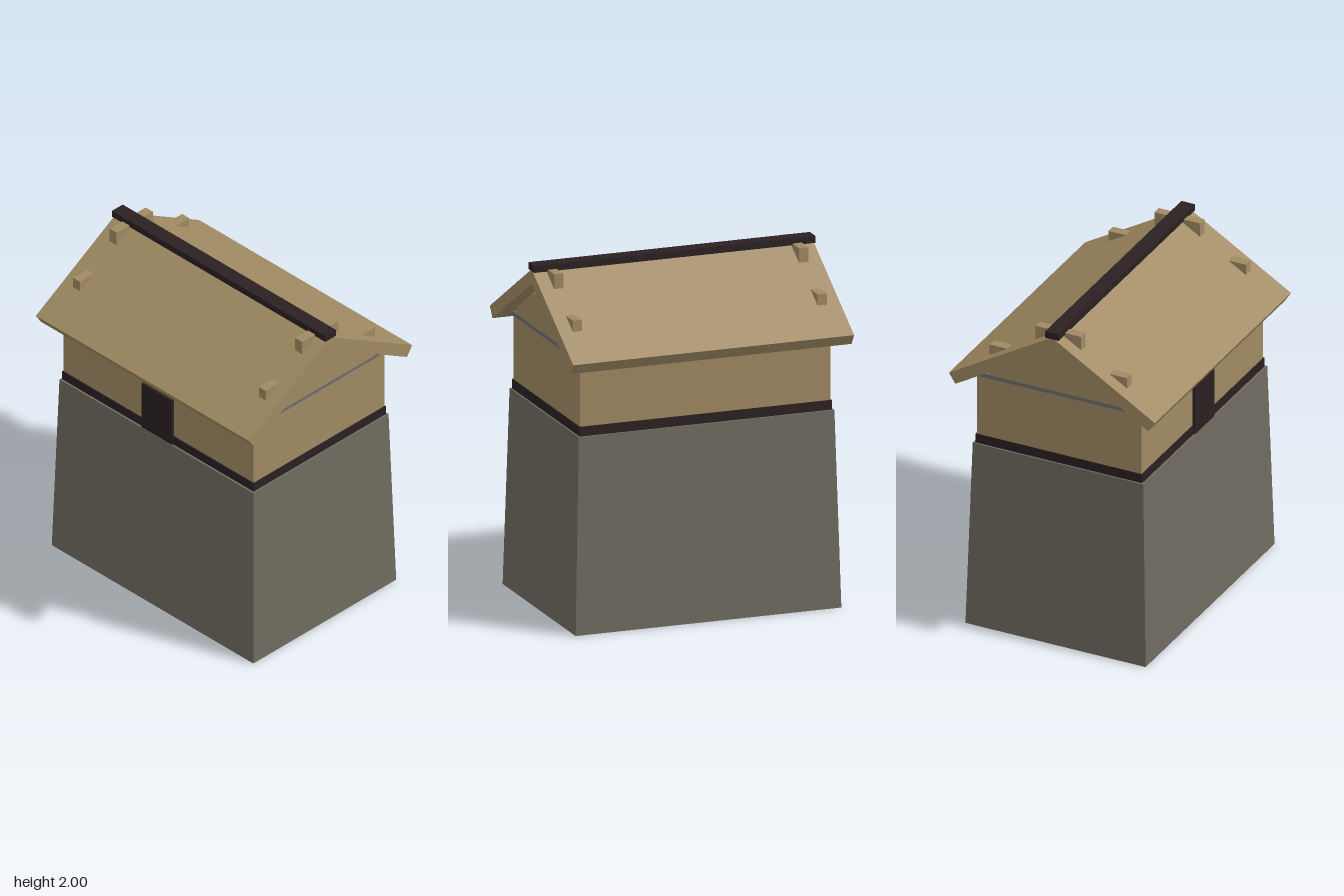
import * as THREE from 'three';

export function createModel() {
  const model = new THREE.Group();
  const mat = (name, color, side = THREE.FrontSide) =>
    Object.assign(new THREE.MeshStandardMaterial({ color, side }), { name });
  const wood = mat('wood', 0xa08a62);
  const stone = mat('stone', 0x6f6b60, THREE.DoubleSide);
  const dark = mat('darkTimber', 0x2b2022);
  const slate = mat('slate', 0x6d6e72);

  const add = (name, geometry, material) => {
    const mesh = new THREE.Mesh(geometry, material);
    mesh.name = name;
    model.add(mesh);
    return mesh;
  };
  // Box given by its lower and upper corners
  const box = (name, material, x0, x1, y0, y1, z0, z1) =>
    add(name, new THREE.BoxGeometry(x1 - x0, y1 - y0, z1 - z0), material)
      .position.set((x0 + x1) / 2, (y0 + y1) / 2, (z0 + z1) / 2);

  // Battered stone base, hollow and open underneath
  const baseTop = 1.135;
  const base = new THREE.BoxGeometry(2, baseTop, 2);
  base.translate(0, baseTop / 2, 0);
  const p = base.attributes.position;
  for (let i = 0; i < p.count; i++) {
    const top = p.getY(i) > 0.5;
    p.setX(i, p.getX(i) * (top ? 0.76 : 0.79));
    p.setZ(i, p.getZ(i) * (top ? 0.53 : 0.56));
  }
  const index = Array.from(base.index.array);
  index.splice(18, 6); // drop the bottom face
  base.setIndex(index);
  base.clearGroups();
  base.computeVertexNormals();
  add('stoneBase', base, stone);

  // Sill band, upper storey, ceiling slab and door
  box('sillBand', dark, -0.75, 0.75, baseTop, 1.19, -0.518, 0.518);
  box('upperStorey', wood, -0.745, 0.745, 1.19, 1.56, -0.512, 0.512);
  box('ceilingSlab', slate, -0.75, 0.75, 1.56, 1.585, -0.54, 0.54);
  box('door', dark, -0.12, 0.12, baseTop, 1.435, 0.5, 0.527);

  // Stepped gable walls poking through the roof
  for (const s of [-1, 1]) {
    const [x0, x1] = s > 0 ? [0.70, 0.755] : [-0.755, -0.70];
    box('gableLowerStep', wood, x0, x1, 1.585, 1.78, -0.427, 0.427);
    box('gableUpperStep', wood, x0, x1, 1.78, 1.97, -0.142, 0.142);
  }

  // Pitched roof: chevron section extruded along x
  const section = new THREE.Shape([
    [0, 1.97], [-0.64, 1.588], [-0.6, 1.527], [0, 1.885], [0.6, 1.527], [0.64, 1.588],
  ].map(([z, y]) => new THREE.Vector2(z, y)));
  const roof = new THREE.ExtrudeGeometry(section, { depth: 1.67, bevelEnabled: false });
  roof.translate(0, 0, -0.835);
  roof.rotateY(Math.PI / 2);
  add('roof', roof, wood);

  // Ridge beam
  box('ridgeBeam', dark, -0.836, 0.836, 1.96, 2, -0.042, 0.042);

  return model;
}
